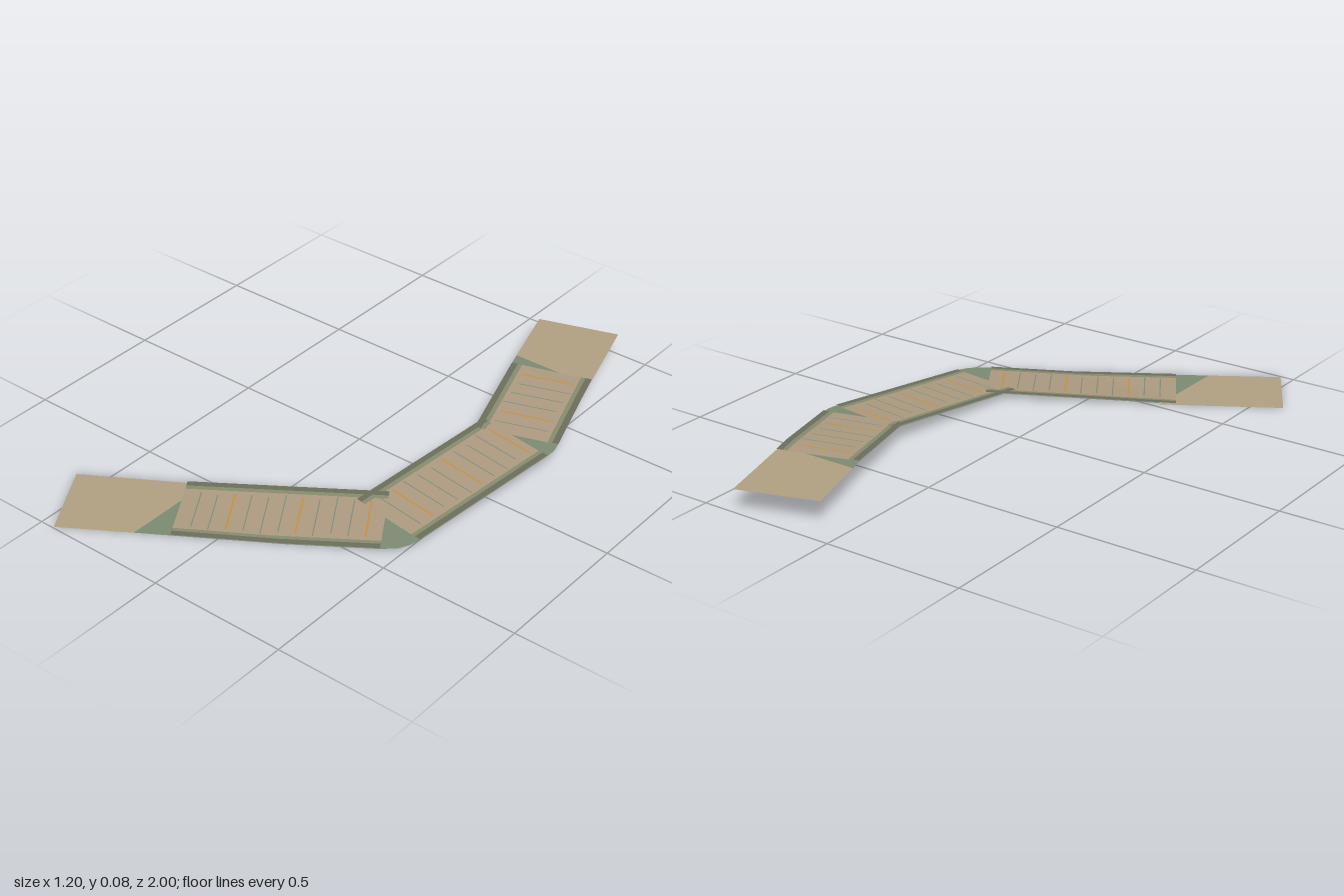
import * as THREE from 'three';

const mat = (name, color) => {
  const m = new THREE.MeshStandardMaterial({ color, side: THREE.DoubleSide });
  m.name = name;
  return m;
};

// Height of the ramp at depth z: level, even slope, level
const heightAt = z => Math.min(0.08, Math.max(0, 0.066 * (0.6 - z)));

export function createModel() {
  const model = new THREE.Group();
  model.name = 'boardwalk';

  const sand = mat('sand', 0xb09f82);
  const wood = mat('wood', 0xac9a80);
  const moss = mat('moss', 0x7c8a72);
  const rimGreen = mat('rimGreen', 0x6b6e5b);
  const curbGreen = mat('curbGreen', 0x868a6e);
  const gapGreen = mat('gapGreen', 0x7b8b7b);
  const ochre = mat('ochre', 0xbf9048);

  const add = (parent, name, geometry, material) => {
    const mesh = new THREE.Mesh(geometry, material);
    mesh.name = name;
    parent.add(mesh);
  };

  // Flat sheet from x, z corners, draped over the ramp
  const sheet = (name, points, material) => {
    const shape = new THREE.Shape(points.map(([x, z]) => new THREE.Vector2(x, -z)));
    const g = new THREE.ShapeGeometry(shape).rotateX(-Math.PI / 2);
    const p = g.attributes.position;
    for (let i = 0; i < p.count; i++) p.setY(i, heightAt(p.getZ(i)));
    g.computeVertexNormals();
    add(model, name, g, material);
  };

  // Level landings at both ends
  const flatSheet = (name, points, y) => {
    const shape = new THREE.Shape(points.map(([x, z]) => new THREE.Vector2(x, -z)));
    add(model, name, new THREE.ShapeGeometry(shape).rotateX(-Math.PI / 2).translate(0, y, 0), sand);
  };
  flatSheet('lowerLanding', [[-0.6, 0.745], [-0.45, 0.995], [-0.23, 0.857], [-0.23, 0.521]], 0);
  flatSheet('upperLanding', [[0.178, -0.66], [0.483, -0.66], [0.38, -1], [0.1, -0.91]], 0.08);

  // Mossy base, split where the slope changes
  const top = 0.6 - 0.08 / 0.066;
  sheet('baseFoot', [[-0.23, 0.6], [-0.23, 0.857], [0.184, 0.6]], moss);
  sheet('baseSlope', [
    [-0.23, 0.521], [-0.23, 0.6], [0.184, 0.6], [0.44, 0.442], [0.485, 0.405], [0.505, 0.37],
    [0.515, 0.335], [0.595, -0.25], [0.597, -0.285], [0.59, -0.315], [0.498, top], [0.193, top],
    [0.3, -0.27], [0.235, 0.238],
  ], moss);
  sheet('baseHead', [[0.193, top], [0.498, top], [0.483, -0.66], [0.178, -0.66]], moss);

  // Deck sections: inner and outer corners at start and end, ochre line positions
  const sections = [
    { name: 'lowerDeck', a: [-0.28, 0.551], b: [-0.13, 0.795], c: [0.29, 0.203], d: [0.44, 0.442], ochre: [3, 7, 11] },
    { name: 'middleDeck', a: [0.228, 0.295], b: [0.515, 0.335], c: [0.304, -0.29], d: [0.595, -0.25], ochre: [2, 6, 10] },
    { name: 'upperDeck', a: [0.309, -0.235], b: [0.59, -0.32], c: [0.195, -0.608], d: [0.473, -0.692], ochre: [2, 6] },
  ];

  for (const s of sections) {
    const group = new THREE.Group();
    group.name = s.name;
    model.add(group);
    const length = Math.hypot(s.c[0] - s.a[0], s.c[1] - s.a[1]);

    // Patch of the section: u runs across, v runs along
    const patch = (name, u0, u1, v0, v1, lift, material) => {
      const nu = Math.max(1, Math.ceil((u1 - u0) * 10));
      const nv = Math.max(1, Math.ceil((v1 - v0) * 20));
      const g = new THREE.PlaneGeometry(1, 1, nu, nv);
      const p = g.attributes.position;
      for (let i = 0; i < p.count; i++) {
        const u = u0 + (u1 - u0) * (p.getX(i) + 0.5);
        const v = v0 + (v1 - v0) * (p.getY(i) + 0.5);
        const at = k => (1 - v) * ((1 - u) * s.a[k] + u * s.b[k]) + v * ((1 - u) * s.c[k] + u * s.d[k]);
        const z = at(1);
        p.setXYZ(i, at(0), heightAt(z) + lift, z);
      }
      g.computeVertexNormals();
      add(group, name, g, material);
    };

    patch('planks', 0.11, 0.89, 0, 1, 0.0015, wood);
    for (const flip of [false, true]) {
      const side = (name, u0, u1, lift, material) =>
        patch(name, flip ? 1 - u1 : u0, flip ? 1 - u0 : u1, 0, 1, lift, material);
      side('curb', 0.07, 0.13, 0.0025, curbGreen);
      side('rim', 0, 0.075, 0.0035, rimGreen);
    }

    // Joints between planks, every fourth one ochre
    const pitch = 0.056;
    const count = Math.floor(length / pitch);
    for (let i = 1; i <= count; i++) {
      const isOchre = s.ochre.includes(i);
      const half = (isOchre ? 0.0035 : 0.002) / length;
      const v = Math.min(i * pitch / length, 1 - half);
      const shift = isOchre ? 0 : ((i % 3) - 1) * 0.03;
      patch(isOchre ? 'ochreJoint' : 'plankJoint', 0.18 + shift, 0.82 + shift, v - half, v + half,
        0.0025, isOchre ? ochre : gapGreen);
    }
  }

  return model;
}
